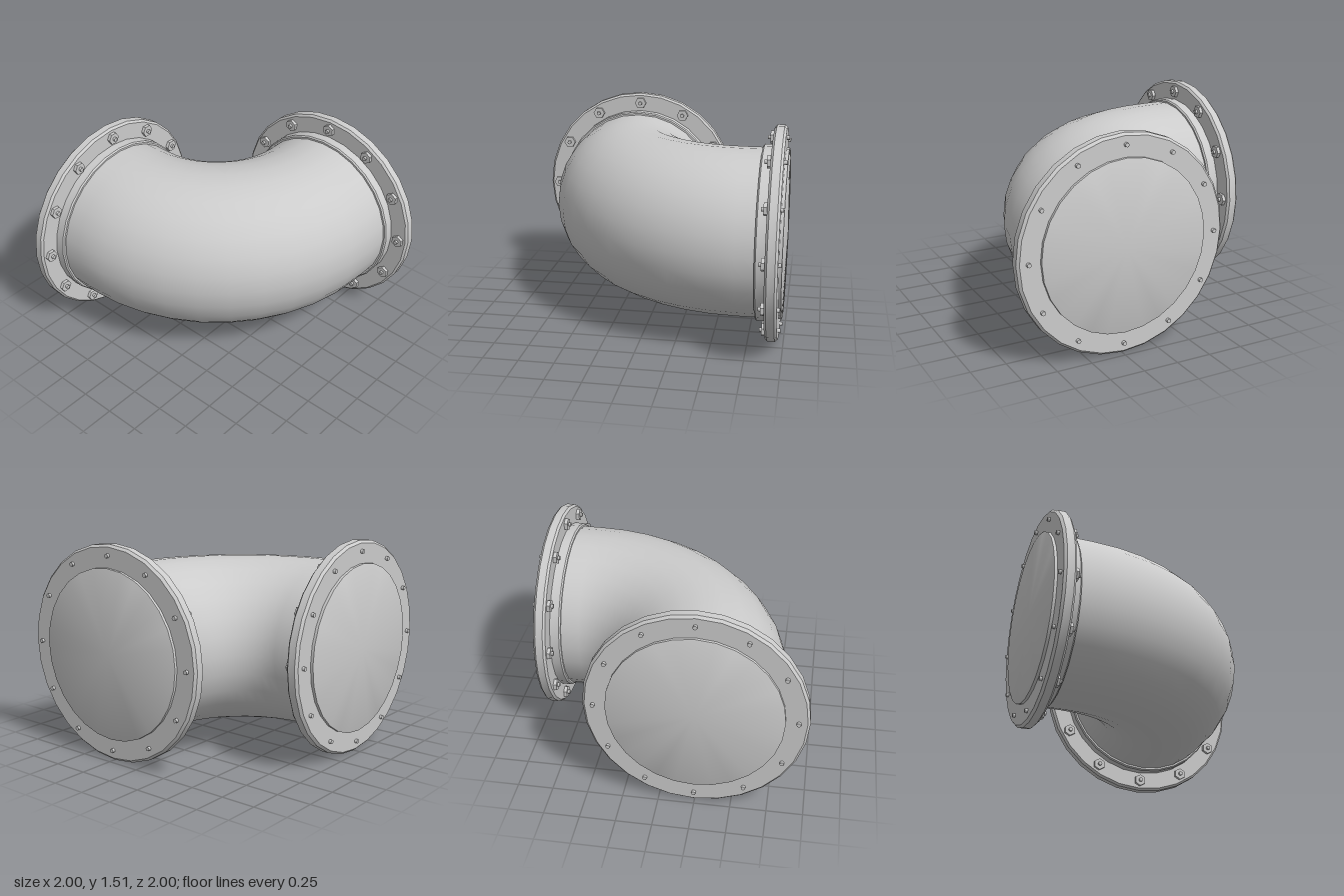
import * as THREE from 'three';
import { toCreasedNormals } from 'three/addons/utils/BufferGeometryUtils.js';

const AXIS_X = -0.245, AXIS_Y = 0.757, AXIS_Z = 0.245; // pipe axis lines
const BEND = 0.92, PIPE_R = 0.595, SIDES = 28;

// Centre line: straight run, quarter bend, straight run
class ElbowCurve extends THREE.Curve {
  getPoint(t, target = new THREE.Vector3()) {
    const arc = BEND * Math.PI / 2, straight = arc / 5;
    const s = t * (arc + 2 * straight) - straight;
    const a = THREE.MathUtils.clamp(s / BEND, 0, Math.PI / 2);
    const before = Math.min(s, 0), after = Math.max(s - arc, 0);
    return target.set(
      AXIS_X + BEND * (1 - Math.cos(a)) + after,
      AXIS_Y,
      AXIS_Z - BEND * (1 - Math.sin(a)) + before
    );
  }
}

export function createModel() {
  const model = new THREE.Group();
  const material = new THREE.MeshStandardMaterial({ color: 0xcccccc });

  const add = (parent, name, geometry, y = 0) => {
    const mesh = new THREE.Mesh(geometry, material);
    mesh.name = name;
    mesh.position.y = y;
    parent.add(mesh);
    return mesh;
  };
  const lathe = (points) => toCreasedNormals(
    new THREE.LatheGeometry(points.map(([r, y]) => new THREE.Vector2(r, y)), SIDES), 0.5);

  add(model, 'elbowPipe', new THREE.TubeGeometry(new ElbowCurve(), 14, PIPE_R, SIDES));

  // Shared end geometry, with +y pointing out of the pipe
  const collar = lathe([[0.59, 0.805], [0.608, 0.805], [0.617, 0.815], [0.617, 0.89]]);
  const flange = lathe([
    [0.59, 0.88], [0.74, 0.88], [0.755, 0.895], [0.755, 0.948], [0.738, 0.965], [0.59, 0.965],
  ]);
  const cap = lathe([[0.597, 0.955], [0.597, 0.985], [0.59, 0.988], [0, 1]]);
  const nut = toCreasedNormals(new THREE.CylinderGeometry(0.045, 0.045, 0.025, 6), 0.5);
  const stud = toCreasedNormals(new THREE.CylinderGeometry(0.015, 0.015, 0.146, 8), 0.9);

  const addEnd = (name) => {
    const end = new THREE.Group();
    end.name = name;
    add(end, 'collar', collar);
    add(end, 'flange', flange);
    add(end, 'endCap', cap);
    // Ring of twelve bolts
    for (let i = 0; i < 12; i++) {
      const a = i * Math.PI / 6;
      const bolt = new THREE.Group();
      bolt.name = 'bolt';
      bolt.position.set(0.68 * Math.cos(a), 0, 0.68 * Math.sin(a));
      add(bolt, 'nut', nut, 0.8685).rotation.y = Math.PI / 6;
      add(bolt, 'stud', stud, 0.912);
      end.add(bolt);
    }
    model.add(end);
    return end;
  };

  const back = addEnd('backFlange');
  back.rotation.x = -Math.PI / 2;
  back.position.set(AXIS_X, AXIS_Y, 0);

  const side = addEnd('leftFlange');
  side.rotation.z = -Math.PI / 2;
  side.position.set(0, AXIS_Y, AXIS_Z);

  return model;
}
